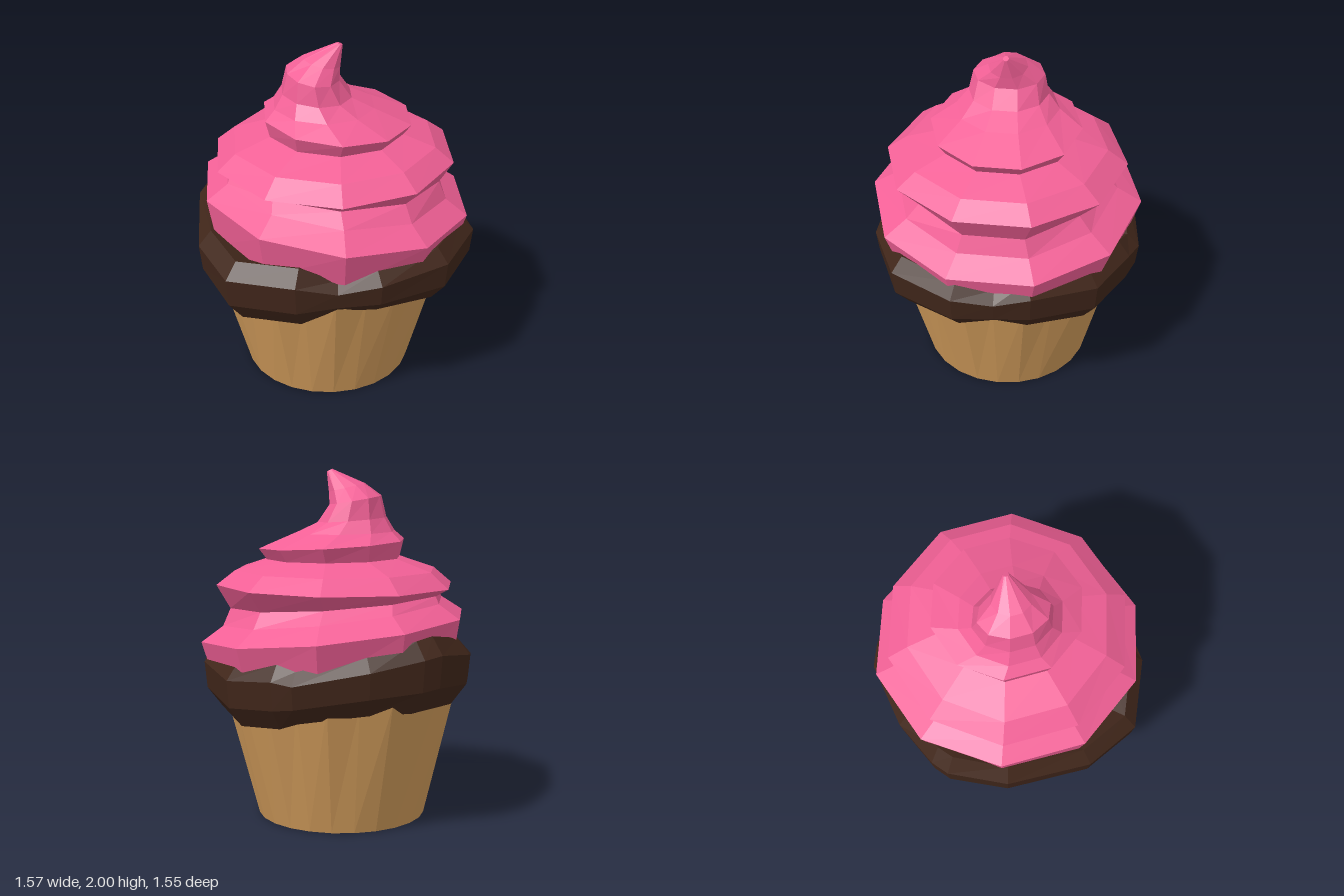
import * as THREE from 'three';

const material = (color) => new THREE.MeshStandardMaterial({ color, flatShading: true, side: THREE.DoubleSide });

// Skins a stack of rings (bottom to top, counter-clockwise seen from +z through +x) and closes both ends.
function loft(name, rings, color) {
  const n = rings[0].length;
  const pos = [];
  const tri = (a, b, c) => pos.push(...a, ...b, ...c);
  for (let i = 0; i < rings.length - 1; i++) {
    for (let k = 0; k < n; k++) {
      const j = (k + 1) % n;
      const a = rings[i][k], b = rings[i][j], c = rings[i + 1][j], d = rings[i + 1][k];
      tri(a, b, c);
      tri(a, c, d);
    }
  }
  const cap = (ring, up) => {
    const mid = [0, 1, 2].map((m) => ring.reduce((s, p) => s + p[m], 0) / n);
    ring.forEach((p, k) => {
      const q = ring[(k + 1) % n];
      if (up) tri(mid, p, q);
      else tri(mid, q, p);
    });
  };
  cap(rings[0], false);
  cap(rings[rings.length - 1], true);
  const geometry = new THREE.BufferGeometry();
  geometry.setAttribute('position', new THREE.Float32BufferAttribute(pos, 3));
  geometry.computeVertexNormals();
  const mesh = new THREE.Mesh(geometry, material(color));
  mesh.name = name;
  return mesh;
}

// Ring with its own centre, radii and a tilt from left to right.
function ring(n, cx, rx, rz, yMinusX, yPlusX) {
  return Array.from({ length: n }, (_, k) => {
    const a = (k / n) * Math.PI * 2;
    const s = Math.sin(a);
    return [cx + rx * s, yMinusX + (yPlusX - yMinusX) * (s + 1) / 2, rz * Math.cos(a)];
  });
}

// Tapered cup whose sides flare into soft, uneven pleats
function createCup() {
  const n = 24, cx = -0.045;
  const bottom = ring(n, cx, 0.485, 0.485, 0, 0);
  const top = ring(n, cx, 0.68, 0.68, 0.76, 0.76).map(([x, y, z], k) => {
    const f = 1 + [0.015, -0.015, 0.01, -0.02, 0.02][k % 5];
    return [cx + (x - cx) * f, y, z * f];
  });
  return loft('cup', [bottom, top], 0xcf9a5a);
}

// Chocolate rim: outline points as x, z, top height, bottom height
function createChocolate() {
  const outline = [
    [-0.27, 0.75, 0.99, 0.61], [-0.04, 0.745, 0.90, 0.69], [0.2, 0.74, 0.95, 0.68],
    [0.58, 0.57, 0.99, 0.65], [0.78, 0.21, 0.99, 0.67], [0.76, -0.02, 0.94, 0.7],
    [0.72, -0.22, 0.99, 0.65], [0.52, -0.57, 0.95, 0.6], [0.25, -0.73, 0.98, 0.62],
    [0.13, -0.78, 0.95, 0.66], [-0.28, -0.72, 1.03, 0.7], [-0.56, -0.6, 1.10, 0.7],
    [-0.65, -0.53, 1.12, 0.71], [-0.79, -0.22, 1.07, 0.69], [-0.79, 0.27, 0.99, 0.64],
    [-0.64, 0.59, 0.96, 0.58],
  ];
  // Each layer: scale of the outline, blend from bottom to top height, lift
  const layers = [
    [0.74, 0, 0.08], [0.87, 0, 0], [0.98, 0.32, 0], [1, 0.76, 0], [0.91, 1, 0], [0.74, 1, -0.05],
  ];
  const rings = layers.map(([s, t, lift]) =>
    outline.map(([x, z, hi, lo]) => [x * s, lo + (hi - lo) * t + lift, z * s]));
  return loft('chocolateRim', rings, 0x40261a);
}

// Swirled frosting: ten-sided tilted tiers leaning into a hooked tip
function createFrosting() {
  const tiers = [
    // cx, rx, rz, height at -x, height at +x
    [0, 0.72, 0.70, 0.88, 0.86],
    [0, 0.77, 0.775, 1.18, 1.02],
    [0, 0.645, 0.635, 1.26, 1.11],
    [-0.01, 0.615, 0.55, 1.30, 1.21],
    [-0.01, 0.69, 0.685, 1.34, 1.35],
    [-0.01, 0.585, 0.57, 1.43, 1.43],
    [0, 0.39, 0.38, 1.50, 1.49],
    [0.01, 0.425, 0.425, 1.60, 1.55],
    [-0.065, 0.29, 0.29, 1.65, 1.64],
    [-0.105, 0.2, 0.225, 1.73, 1.70],
    [-0.125, 0.15, 0.2, 1.85, 1.80],
    [-0.075, 0.105, 0.11, 1.92, 1.87],
    [0.025, 0.016, 0.016, 2.0, 1.985],
  ];
  return loft('frosting', tiers.map((t) => ring(10, ...t)), 0xf26096);
}

export function createModel() {
  const group = new THREE.Group();
  group.name = 'cupcake';
  group.add(createCup(), createChocolate(), createFrosting());
  return group;
}
